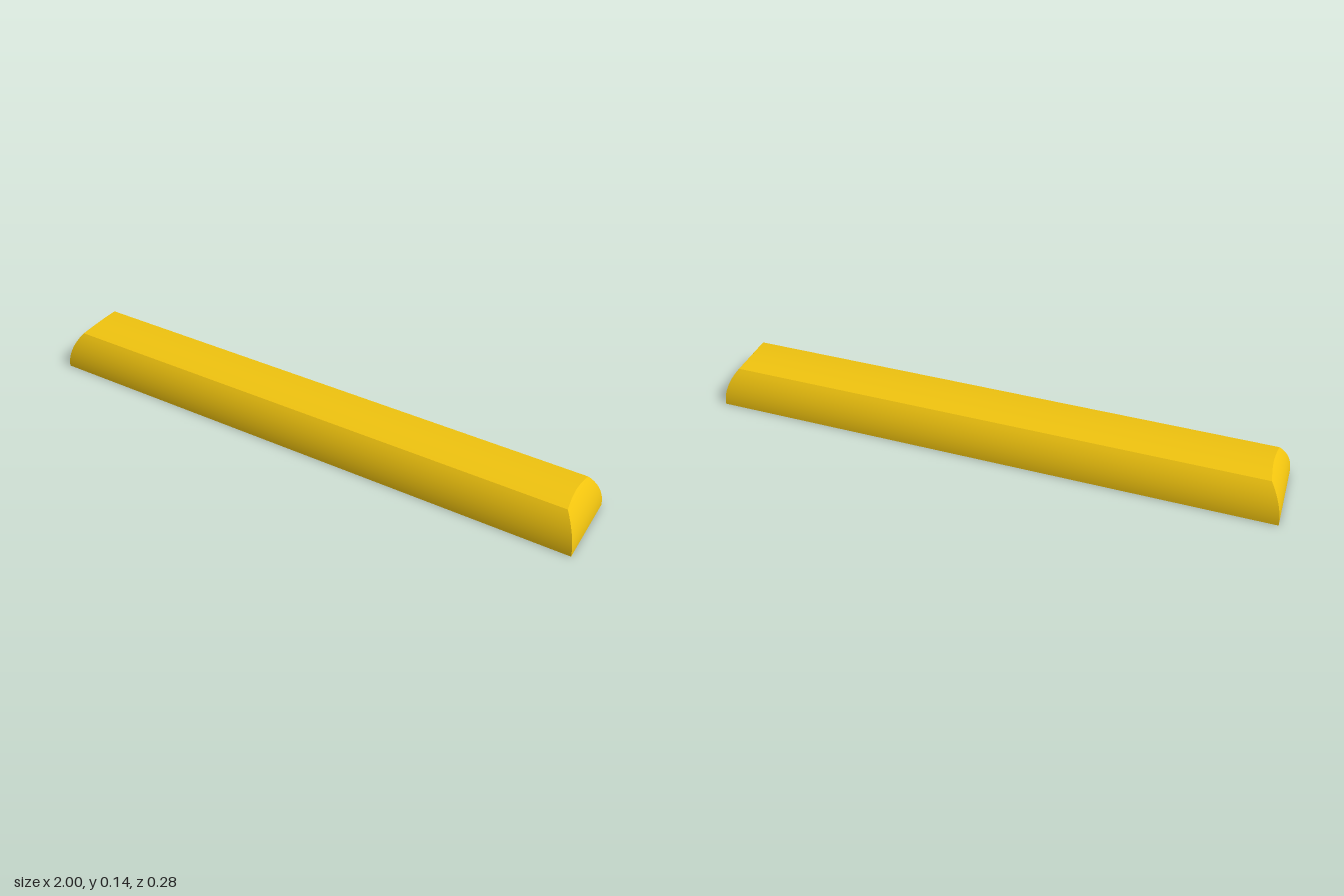
import * as THREE from 'three';
import { mergeGeometries } from 'three/addons/utils/BufferGeometryUtils.js';

const LENGTH = 1, WIDTH = 0.138; // half sizes of the footprint
const WALL = 0.03, RADIUS = 0.214; // wall thickness, radius of the curved sides
const CROWN = 0.144, DROP = 0.009; // height along the middle, fall towards the edges

// Grid bent by fn(u, v), with u from -1 to 1 and v from 0 to 1
function patch(nu, nv, flip, fn) {
  const geo = new THREE.PlaneGeometry(1, 1, nu, nv);
  const { position, uv } = geo.attributes;
  for (let i = 0; i < position.count; i++) {
    const u = (uv.getX(i) * 2 - 1) * (flip ? -1 : 1);
    position.setXYZ(i, ...fn(u, uv.getY(i)));
  }
  geo.computeVertexNormals();
  return geo;
}

// Four inward-curving walls and a crowned top, offset inwards by t
function skin(t, flip) {
  const l = LENGTH - t, w = WIDTH - t, r = RADIUS - t;
  const inset = y => r - Math.sqrt(r * r - y * y);
  const top = u => CROWN - t - DROP * u * u;
  const parts = [];
  for (const s of [1, -1]) {
    // long side
    parts.push(patch(4, 16, flip, (u, v) => {
      const y = v * top(1);
      return [s * u * (l - inset(y)), y, s * (w - inset(y))];
    }));
    // end
    parts.push(patch(16, 16, flip, (u, v) => {
      const y = v * top(u);
      return [s * (l - inset(y)), y, -s * u * (w - inset(y))];
    }));
  }
  // top
  parts.push(patch(4, 16, flip, (u, v) => {
    const k = 1 - 2 * v, y = top(k);
    return [u * (l - inset(y)), y, k * (w - inset(y))];
  }));
  return mergeGeometries(parts);
}

const rectangle = (PathType, l, w) => new PathType([[-l, -w], [l, -w], [l, w], [-l, w]]
  .map(([x, y]) => new THREE.Vector2(x, y)));

export function createModel() {
  const group = new THREE.Group();
  group.name = 'hollowBar';
  const material = new THREE.MeshStandardMaterial({ color: 0xf1c40f });
  const add = (name, geo) => {
    const mesh = new THREE.Mesh(geo, material);
    mesh.name = name;
    group.add(mesh);
  };

  add('outerShell', skin(0, false));
  add('innerCavity', skin(WALL, true));

  // flat rim joining the two skins underneath
  const rim = rectangle(THREE.Shape, LENGTH, WIDTH);
  rim.holes.push(rectangle(THREE.Path, LENGTH - WALL, WIDTH - WALL));
  add('bottomRim', new THREE.ShapeGeometry(rim).rotateX(Math.PI / 2));

  return group;
}
